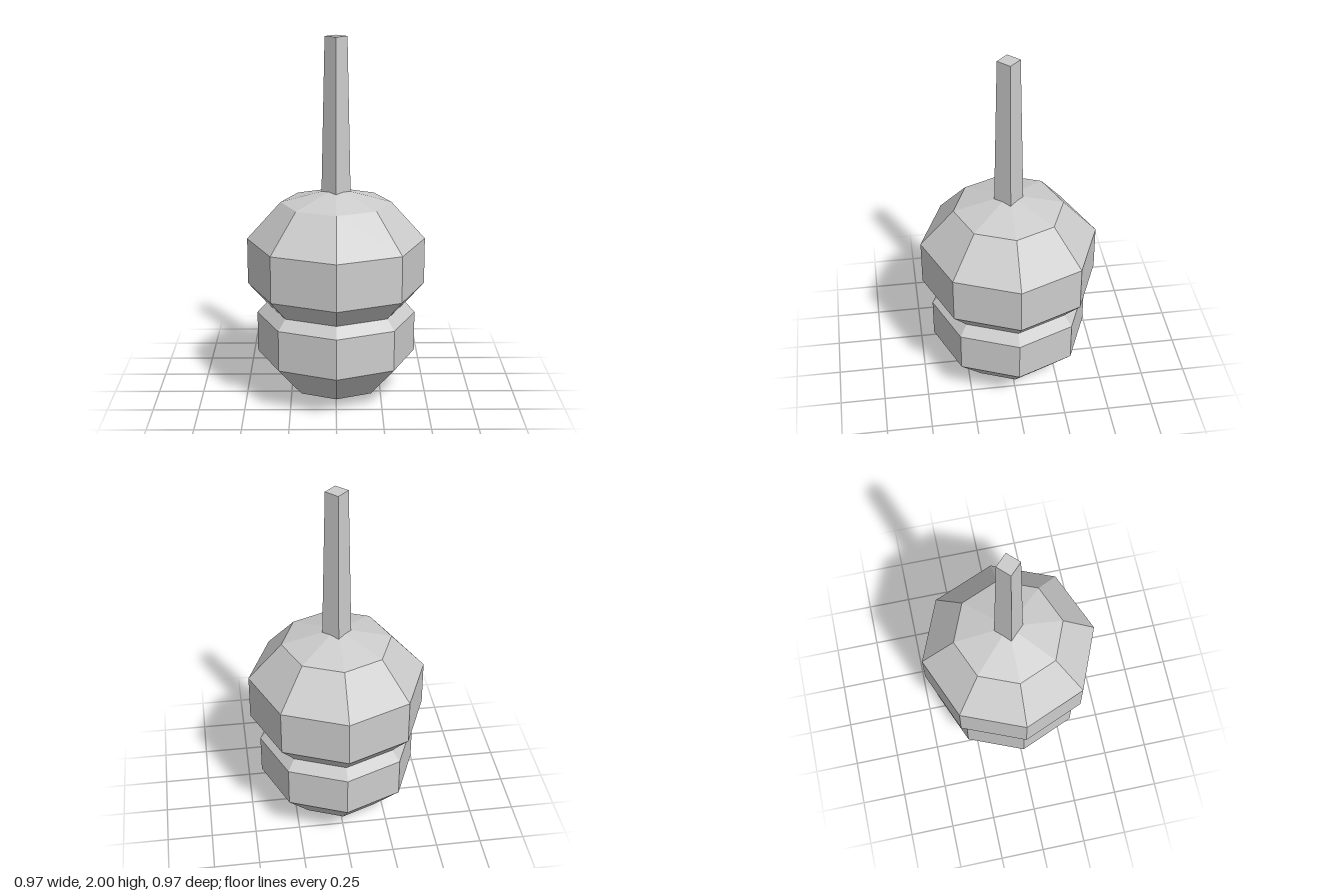
import * as THREE from 'three';

export function createModel() {
  const model = new THREE.Group();
  const grey = new THREE.MeshStandardMaterial({ color: 0xcccccc, flatShading: true });
  grey.name = 'grey';

  const add = (name, geometry, y) => {
    const mesh = new THREE.Mesh(geometry, grey);
    mesh.name = name;
    mesh.position.y = y;
    model.add(mesh);
  };

  // Slightly squashed eight-sided ball
  const ball = (radius, halfHeight) =>
    new THREE.SphereGeometry(radius, 8, 5).scale(1, halfHeight / radius, 1);

  // Two overlapping balls, the larger one on top
  add('lowerBall', ball(0.459, 0.3635), 0.3635);
  add('upperBall', ball(0.511, 0.413), 0.773);

  // Tapered square stem, its foot sunk into the upper ball
  const foot = 1.1;
  add('stem', new THREE.CylinderGeometry(0.06, 0.08, 2 - foot, 4), (2 + foot) / 2);

  return model;
}
